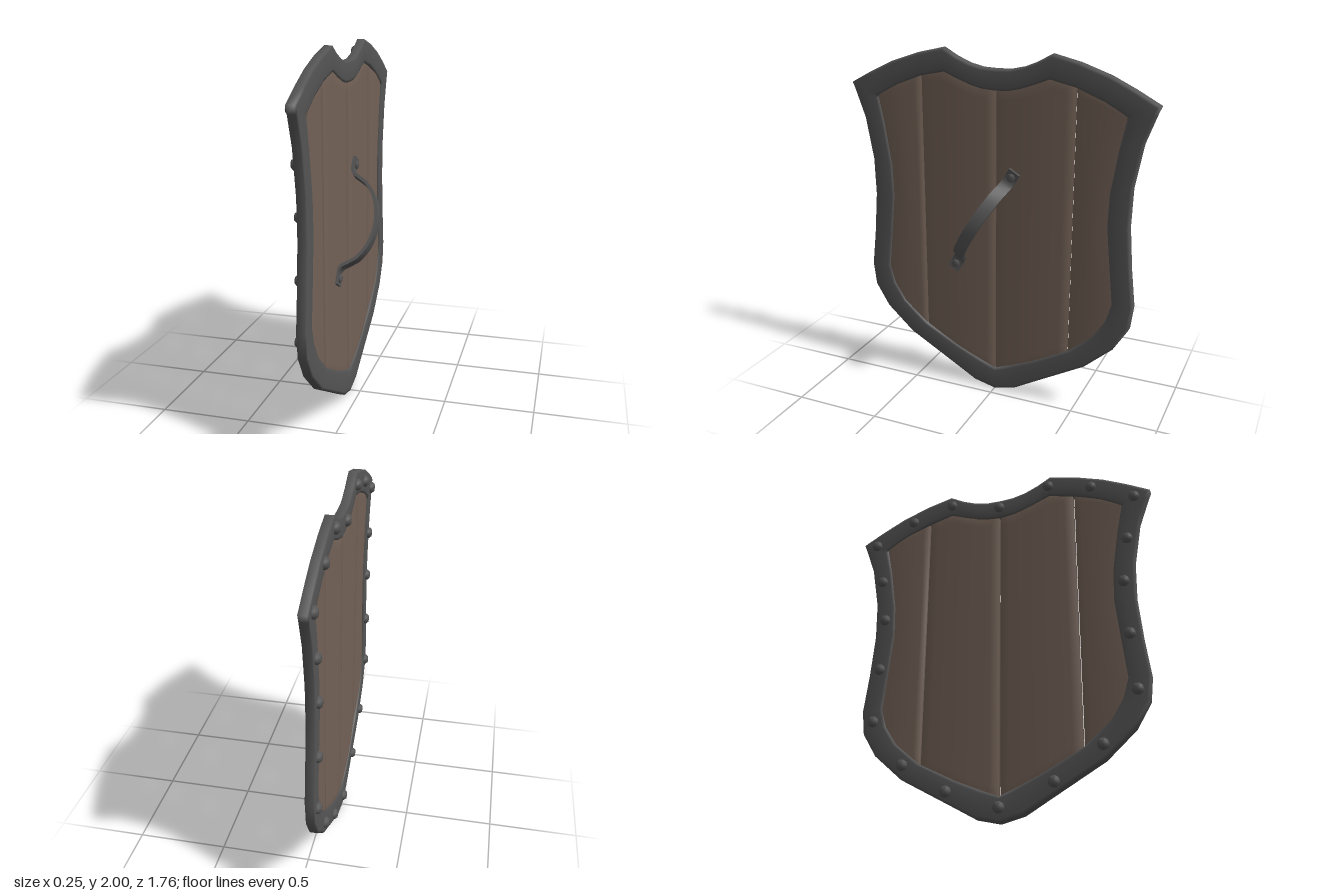
import * as THREE from 'three';
import { mergeVertices, toCreasedNormals } from 'three/addons/utils/BufferGeometryUtils.js';

const metal = new THREE.MeshStandardMaterial({ color: 0x555555 });
metal.name = 'dark iron';
const wood = new THREE.MeshStandardMaterial({ color: 0x736257 });
wood.name = 'brown wood';

const MID = -0.08; // x of the shield's middle plane

// Half outline from top centre to bottom tip: outer u, outer y, inner u, inner y (u = -z)
const half = [
  [0, 1.905, 0, 1.793], [0.08, 1.908, 0.08, 1.798], [0.155, 1.925, 0.14, 1.812], [0.233, 1.957, 0.215, 1.838],
  [0.31, 2.0, 0.302, 1.873], [0.46, 1.965, 0.445, 1.842], [0.62, 1.91, 0.59, 1.785], [0.75, 1.848, 0.66, 1.748],
  [0.88, 1.778, 0.716, 1.715], [0.862, 1.735, 0.716, 1.7], [0.806, 1.58, 0.685, 1.55], [0.764, 1.342, 0.648, 1.31],
  [0.759, 1.13, 0.642, 1.13], [0.78, 0.89, 0.667, 0.89], [0.806, 0.68, 0.69, 0.68], [0.79, 0.546, 0.658, 0.573],
  [0.71, 0.414, 0.59, 0.468], [0.55, 0.27, 0.45, 0.345], [0.26, 0.106, 0.24, 0.235], [0.127, 0.03, 0.11, 0.178],
  [0, 0, 0, 0.133],
];
const middle = half.map(([a, b, c, d]) => [(a + c) / 2, (b + d) / 2]);

// Linear lookup in a list of [key, value] with ascending keys
function lookup(list, k) {
  if (k <= list[0][0]) return list[0][1];
  for (let i = 1; i < list.length; i++) {
    const [k0, v0] = list[i - 1], [k1, v1] = list[i];
    if (k <= k1) return v0 + (v1 - v0) * (k - k0) / (k1 - k0);
  }
  return list[list.length - 1][1];
}
const topEdge = middle.slice(0, 9);
const bottomEdge = middle.slice(14).reverse();
const sideEdge = middle.slice(8, 15).reverse().map(([u, y]) => [y, u]);

// Rim: a rounded flat section swept round the mirrored outline
function rimGeometry() {
  const loop = [...half, ...half.slice(1, -1).reverse().map(([a, b, c, d]) => [-a, b, -c, d])];
  const section = [[0, 0.021], [0.12, 0.025], [0.5, 0.026], [0.88, 0.025], [1, 0.019],
    [1, -0.019], [0.88, -0.025], [0.5, -0.026], [0.12, -0.025], [0, -0.021]];
  const n = loop.length, m = section.length, pos = [], index = [];
  for (const [ou, oy, iu, iy] of loop)
    for (const [t, x] of section) pos.push(MID + x, oy + (iy - oy) * t, -(ou + (iu - ou) * t));
  for (let i = 0; i < n; i++)
    for (let j = 0; j < m; j++) {
      const i2 = (i + 1) % n, j2 = (j + 1) % m;
      const a = i * m + j, b = i * m + j2, c = i2 * m + j2, d = i2 * m + j;
      index.push(a, b, c, a, c, d);
    }
  const g = new THREE.BufferGeometry();
  g.setAttribute('position', new THREE.Float32BufferAttribute(pos, 3));
  g.setIndex(index);
  g.computeVertexNormals();
  return g;
}

// Plank: a box bent to fit between two seams, or a seam and the side of the rim
function plankGeometry(side, u0, u1) {
  let g = new THREE.BoxGeometry(1, 1, 1, 1, 16, 8);
  g.deleteAttribute('normal');
  g.deleteAttribute('uv');
  g = mergeVertices(g);
  const p = g.attributes.position;
  for (let i = 0; i < p.count; i++) {
    const s = 0.5 - side * p.getZ(i), t = p.getY(i) + 0.5;
    const low = lookup(bottomEdge, u0 + s * ((u1 ?? 0.748) - u0));
    const high = lookup(topEdge, u0 + s * ((u1 ?? 0.798) - u0));
    const y = low + (high - low) * t;
    const end = u1 ?? lookup(sideEdge, y);
    const depth = 0.011 + 0.008 * Math.sin(Math.PI * s);
    p.setXYZ(i, MID + Math.sign(p.getX(i)) * depth, y, -side * (u0 + s * (end - u0)));
  }
  g.computeVertexNormals();
  return g;
}

// Domed rivet head standing along +y
function rivetGeometry(r, h) {
  const pts = [[r, 0], [r, h * 0.5], [r * 0.65, h * 0.95], [0, h]].map(([a, b]) => new THREE.Vector2(a, b));
  return toCreasedNormals(new THREE.LatheGeometry(pts, 10), 0.9);
}

// Strap: side profile with constant thickness, extruded to the strap's width
function strapGeometry() {
  const curve = new THREE.CatmullRomCurve3([
    [-0.056, -0.363], [-0.056, -0.275], [0.03, -0.213], [0.088, -0.125], [0.111, 0],
    [0.088, 0.125], [0.03, 0.213], [-0.056, 0.275], [-0.056, 0.363],
  ].map(([x, y]) => new THREE.Vector3(x, y, 0)), false, 'centripetal');
  const outer = [], inner = [];
  for (let i = 0; i <= 20; i++) {
    const c = curve.getPoint(i / 20), d = curve.getTangent(i / 20);
    outer.push(new THREE.Vector2(c.x + d.y * 0.009, c.y - d.x * 0.009));
    inner.push(new THREE.Vector2(c.x - d.y * 0.009, c.y + d.x * 0.009));
  }
  const g = new THREE.ExtrudeGeometry(new THREE.Shape([...outer, ...inner.reverse()]), { depth: 0.07, bevelEnabled: false });
  g.translate(0, 0, -0.035);
  return toCreasedNormals(g, 0.7);
}

export function createModel() {
  const model = new THREE.Group();
  model.name = 'shield';
  const add = (parent, name, geometry, material) => {
    const mesh = new THREE.Mesh(geometry, material);
    mesh.name = name;
    parent.add(mesh);
    return mesh;
  };

  add(model, 'rim', rimGeometry(), metal);

  // Four planks with narrow gaps
  for (const side of [1, -1]) {
    add(model, 'innerPlank', plankGeometry(side, 0.004, 0.441), wood);
    add(model, 'outerPlank', plankGeometry(side, 0.449), wood);
  }

  // Rivets on the outward face of the rim
  const rivets = new THREE.Group();
  rivets.name = 'rimRivets';
  model.add(rivets);
  const rivet = rivetGeometry(0.031, 0.028);
  const spots = [[0, 1.855], [0.3, 1.935], [0.55, 1.87], [0.79, 1.75], [0.735, 1.49], [0.702, 1.23],
    [0.715, 0.92], [0.735, 0.61], [0.545, 0.345], [0.29, 0.18], [0, 0.075]];
  for (const [u, y] of spots)
    for (const side of u ? [1, -1] : [1]) {
      const head = add(rivets, 'rimRivet', rivet, metal);
      head.position.set(-0.102, y, -side * u);
      head.rotation.z = Math.PI / 2;
    }

  // Slanted handle on the inward face
  const handle = new THREE.Group();
  handle.name = 'handle';
  handle.position.set(0, 1.053, 0.0715);
  handle.rotation.x = -0.547;
  model.add(handle);
  add(handle, 'strap', strapGeometry(), metal);
  const small = rivetGeometry(0.024, 0.012);
  for (const a of [-0.325, 0.325]) {
    const head = add(handle, 'handleRivet', small, metal);
    head.position.set(-0.048, a, 0);
    head.rotation.z = -Math.PI / 2;
  }
  return model;
}
